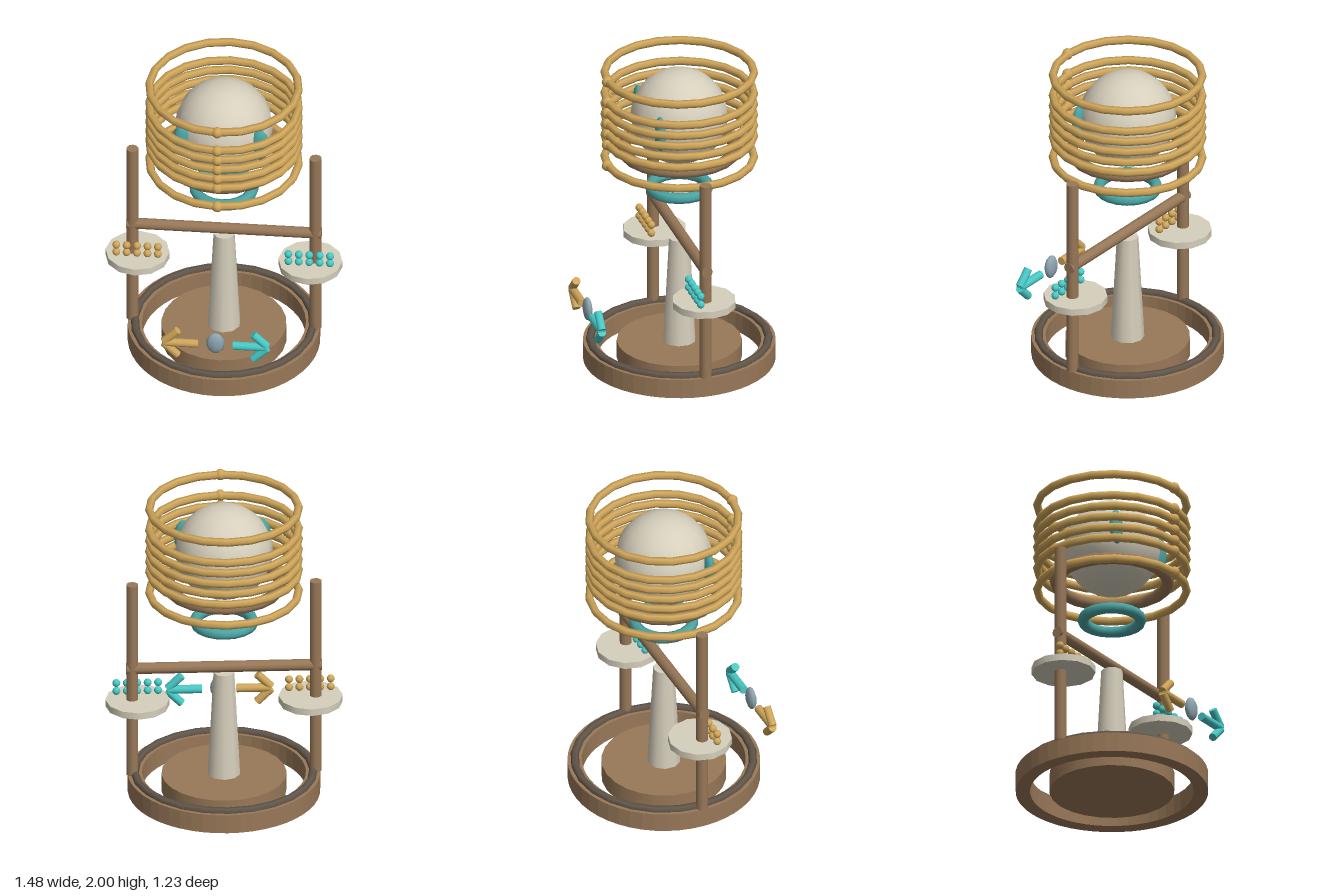
import * as THREE from 'three';

const mat = (name, color) => {
  const m = new THREE.MeshStandardMaterial({ color });
  m.name = name;
  return m;
};

export function createModel() {
  const brown = mat('brown wood', 0x987858);
  const dark = mat('dark trim', 0x62564a);
  const cream = mat('cream', 0xd6cfbc);
  const gold = mat('gold', 0xd0a65a);
  const teal = mat('deep teal', 0x4aa5a5);
  const aqua = mat('bright aqua', 0x48cac6);
  const slate = mat('slate blue', 0x8fa6b2);

  const model = new THREE.Group();
  model.name = 'model';
  const body = new THREE.Group();
  body.name = 'body';
  body.position.z = -0.018;
  model.add(body);

  const add = (parent, name, geo, material, x, y, z) => {
    const mesh = new THREE.Mesh(geo, material);
    mesh.name = name;
    mesh.position.set(x, y, z);
    parent.add(mesh);
    return mesh;
  };
  const ring = (name, R, tube, y, material, sides, segs) =>
    add(body, name, new THREE.TorusGeometry(R, tube, sides, segs).rotateX(Math.PI / 2), material, 0, y, 0);
  // straight rod between two points
  const rod = (parent, name, a, b, r, material, sides = 10) => {
    const d = b.clone().sub(a);
    const mesh = add(parent, name, new THREE.CylinderGeometry(r, r, d.length(), sides), material, 0, 0, 0);
    mesh.position.copy(a).add(b).multiplyScalar(0.5);
    mesh.quaternion.setFromUnitVectors(new THREE.Vector3(0, 1, 0), d.normalize());
    return mesh;
  };
  const v = (x, y, z) => new THREE.Vector3(x, y, z);

  // Base: hollow ring with dark trim and a separate inner disc
  const outline = new THREE.Shape().absarc(0, 0, 0.6, 0, Math.PI * 2);
  outline.holes.push(new THREE.Path().absarc(0, 0, 0.51, 0, Math.PI * 2, true));
  const rim = new THREE.ExtrudeGeometry(outline, { depth: 0.125, bevelEnabled: false, curveSegments: 24 });
  add(body, 'baseRing', rim.rotateX(-Math.PI / 2), brown, 0, 0, 0);
  ring('baseTrim', 0.557, 0.026, 0.13, dark, 6, 24);
  add(body, 'baseDisc', new THREE.CylinderGeometry(0.39, 0.39, 0.12, 24), brown, 0, 0.06, 0);

  // Tapered pedestal, posts and crossbar
  add(body, 'pedestal', new THREE.CylinderGeometry(0.067, 0.105, 0.72, 10), cream, 0, 0.465, 0);
  rod(body, 'crossbar', v(-0.61, 0.86, 0), v(0.61, 0.86, 0), 0.036, brown);

  for (const s of [-1, 1]) {
    rod(body, 'post', v(s * 0.572, 0.125, 0), v(s * 0.572, 1.445, 0), 0.038, brown);

    // Side tray with two rows of beads
    add(body, 'tray', new THREE.CylinderGeometry(0.2, 0.2, 0.045, 12), cream, s * 0.54, 0.625, 0);
    for (let i = 0; i < 5; i++)
      for (const y of [0.675, 0.73])
        add(model, 'trayBead', new THREE.SphereGeometry(0.025, 10, 8), s < 0 ? gold : aqua,
          s * 0.538 + (i - 2) * 0.065, y, 0.042);

    // Arrow pointing outward
    const arrow = new THREE.Group();
    arrow.name = s < 0 ? 'rightArrow' : 'leftArrow';
    model.add(arrow);
    const m = s < 0 ? gold : aqua;
    rod(arrow, 'arrowShaft', v(s * 0.108, 0.402, 0.58), v(s * 0.32, 0.402, 0.58), 0.027, m);
    for (const t of [-1, 1])
      rod(arrow, 'arrowBarb', v(s * 0.322, 0.402 + t * 0.008, 0.58), v(s * 0.235, 0.402 + t * 0.095, 0.58), 0.026, m);

    // Eye on the globe
    const eye = add(model, 'eye', new THREE.SphereGeometry(1, 10, 8), teal, s * 0.242, 1.675, 0.178);
    eye.scale.set(0.06, 0.115, 0.033);
  }

  // Oval button between the arrows
  const button = add(model, 'button', new THREE.SphereGeometry(1, 8, 8), slate, 0, 0.412, 0.578);
  button.scale.set(0.058, 0.076, 0.029);

  // Globe, its cradle and the floating ring below
  add(body, 'globe', new THREE.SphereGeometry(0.305, 16, 12), cream, 0, 1.667, 0);
  ring('globeCradle', 0.35, 0.039, 1.44, brown, 8, 20);
  ring('floatingRing', 0.18, 0.036, 1.177, teal, 8, 20);

  // Stack of hoops, each with a bead in front
  for (const y of [1.384, 1.528, 1.6, 1.673, 1.746, 1.819, 1.963]) {
    ring('hoop', 0.466, 0.026, y, gold, 6, 20);
    add(body, 'hoopBead', new THREE.SphereGeometry(0.036, 8, 6), gold, 0, y, 0.468);
  }
  return model;
}
